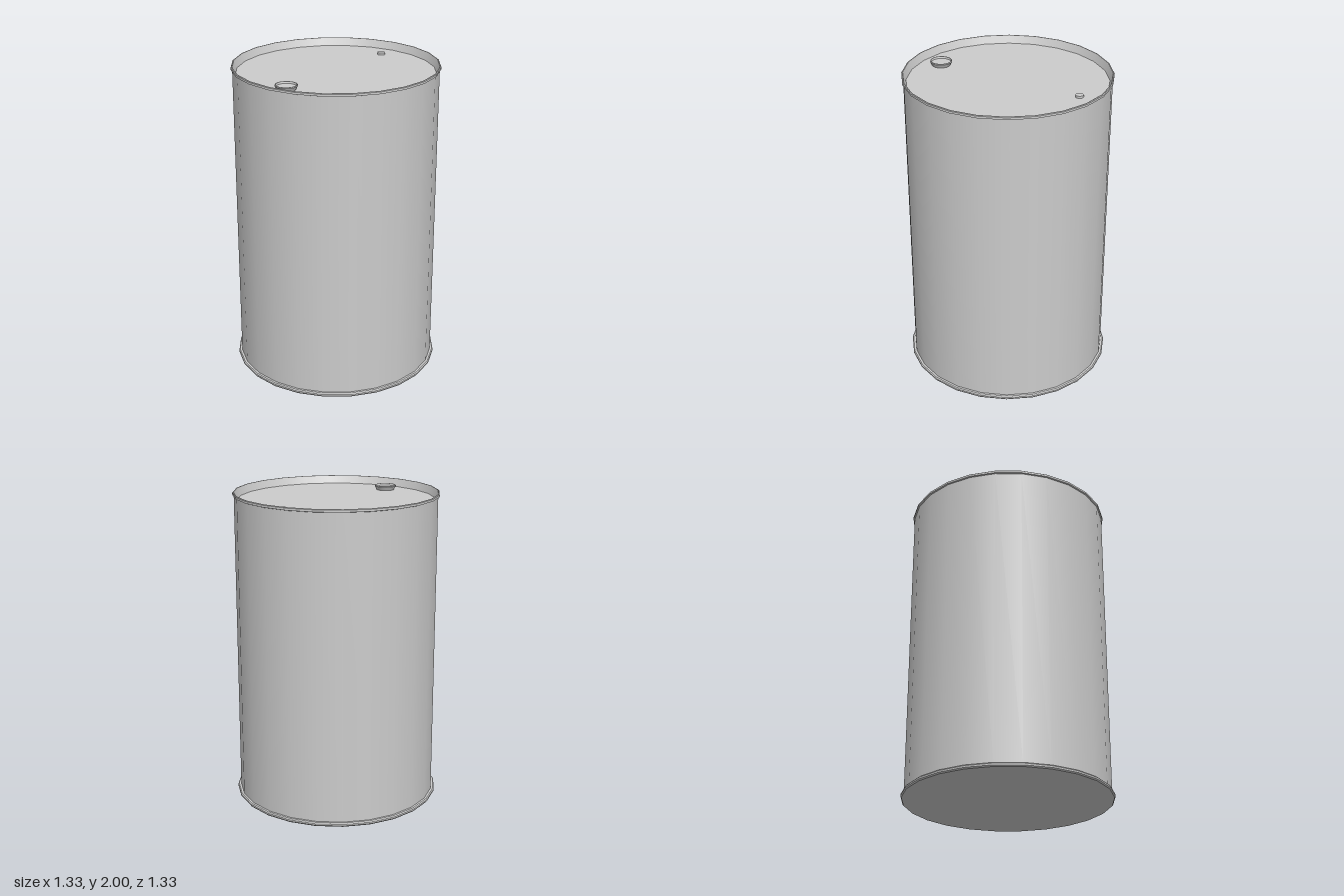
import * as THREE from 'three';
import { mergeGeometries } from 'three/addons/utils/BufferGeometryUtils.js';

const material = new THREE.MeshStandardMaterial({ color: 0xcccccc });

// Revolve a profile, smooth around the axis with crisp edges between its segments
function turned(name, profile, sides) {
  const bands = [];
  for (let i = 0; i < profile.length - 1; i++) {
    const ends = [profile[i], profile[i + 1]].map(([r, y]) => new THREE.Vector2(r, y));
    bands.push(new THREE.LatheGeometry(ends, sides));
  }
  const mesh = new THREE.Mesh(mergeGeometries(bands), material);
  mesh.name = name;
  return mesh;
}

export function createModel() {
  const group = new THREE.Group();
  group.name = 'drum';
  const sides = 24;
  const lidY = 1.95;

  // Flat base with a slightly flared foot rim
  group.add(turned('bottomRim', [
    [0, 0], [0.657, 0], [0.663, 0.008], [0.663, 0.018], [0.657, 0.025], [0.643, 0.025],
  ], sides));

  // Straight wall
  group.add(turned('body', [[0.643, 0.025], [0.643, 1.98]], sides));

  // Rolled top rim, sloping inside down to the lid
  group.add(turned('topRim', [
    [0.643, 1.98], [0.652, 1.983], [0.652, 1.996], [0.648, 2], [0.643, 2], [0.625, lidY],
  ], sides));

  // Recessed lid
  group.add(turned('lid', [[0.625, lidY], [0, lidY]], sides));

  // Large filler cap: flared cup with a sunken top
  const fillerCap = turned('fillerCap', [
    [0.058, 0], [0.07, 0.024], [0.068, 0.03], [0.064, 0.03], [0.061, 0.018], [0, 0.018],
  ], 16);
  fillerCap.position.set(-0.49, lidY, 0);
  group.add(fillerCap);

  // Small vent plug
  const ventPlug = turned('ventPlug', [[0.025, 0], [0.025, 0.014], [0, 0.014]], 16);
  ventPlug.position.set(0.495, lidY, 0);
  group.add(ventPlug);

  return group;
}
